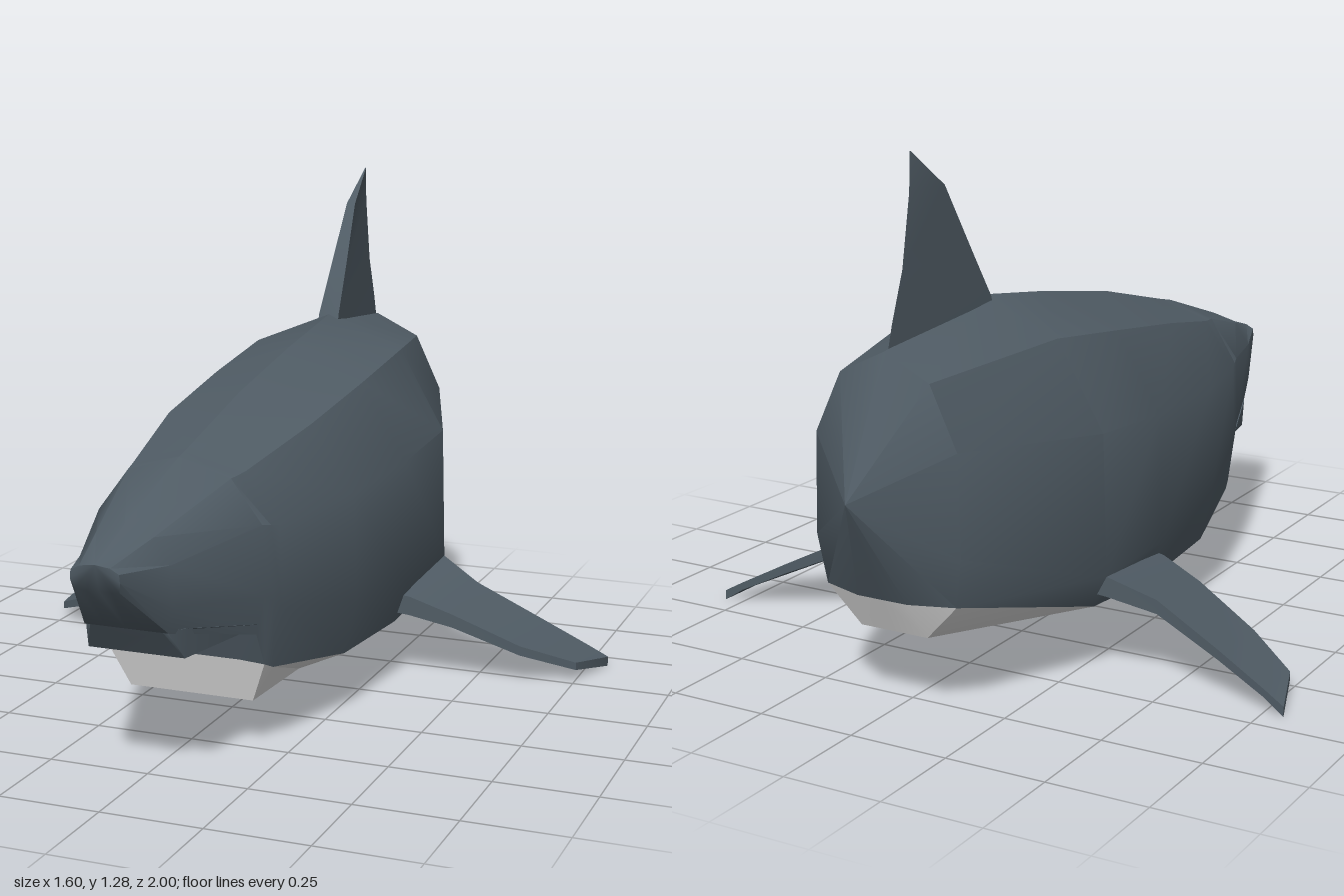
import * as THREE from 'three';
import { toCreasedNormals } from 'three/addons/utils/BufferGeometryUtils.js';

const slate = new THREE.MeshStandardMaterial({ color: 0x505c65 });
slate.name = 'slate skin';
const pale = new THREE.MeshStandardMaterial({ color: 0xe2e2e2 });
pale.name = 'pale belly';

// Skin closed rings of points, cap both ends, and sort the triangles by isPale(ring, side)
function loft(rings, isPale = () => false) {
  const lists = [[], []];
  const n = rings[0].length;
  let volume = 0;
  const tri = (k, a, b, c) => {
    const [A, B, C] = [a, b, c].map((p) => new THREE.Vector3(...p));
    const cross = B.clone().sub(A).cross(C.clone().sub(A));
    if (cross.length() < 1e-7) return;
    volume += A.dot(B.cross(C));
    lists[k].push([a, b, c]);
  };
  for (let i = 0; i < rings.length - 1; i++) {
    for (let j = 0; j < n; j++) {
      const k = isPale(i, j) ? 1 : 0;
      const j2 = (j + 1) % n;
      const [a, b, c, d] = [rings[i][j], rings[i][j2], rings[i + 1][j2], rings[i + 1][j]];
      // mirror the diagonal so both halves match
      if (j < n / 2) { tri(k, a, b, c); tri(k, a, c, d); }
      else { tri(k, a, b, d); tri(k, b, c, d); }
    }
  }
  const last = rings[rings.length - 1];
  for (let j = 1; j < n - 1; j++) {
    tri(0, rings[0][0], rings[0][j + 1], rings[0][j]);
    tri(0, last[0], last[j], last[j + 1]);
  }
  return lists.map((list) => {
    const pos = list.flatMap(([a, b, c]) => (volume > 0 ? [a, b, c] : [a, c, b])).flat();
    const geo = new THREE.BufferGeometry();
    geo.setAttribute('position', new THREE.Float32BufferAttribute(pos, 3));
    return toCreasedNormals(geo, 0.6);
  });
}

function part(name, geometry, material) {
  const mesh = new THREE.Mesh(geometry, material);
  mesh.name = name;
  return mesh;
}

// Half cross-section: ridge, shoulder, upper side, lower side, paint edge, belly edge, keel
function halfSection([z, top, w, low, paintY, bellyW, bellyY, bellyZ = z]) {
  const drop = top - low;
  return [
    [0, top, z],
    [0.61 * w, top - 0.13 * drop, z],
    [0.97 * w, top - 0.46 * drop, z],
    [w, low, z],
    [0.9 * w, paintY, (z + bellyZ) / 2],
    [bellyW, bellyY, bellyZ],
    [0, bellyY, bellyZ],
  ];
}

const mirrorRing = (half) => [
  ...half,
  ...half.slice(1, -1).reverse().map(([x, y, z]) => [-x, y, z]),
];

export function createModel() {
  const group = new THREE.Group();
  group.name = 'seaAnimal';

  // Body stations: z, ridge y, half width, lower side y, paint edge y, belly half width, belly y, belly z
  const halves = [
    [1, 0.565, 0.06, 0.53, 0.505, 0.03, 0.5, 0.98],
    [0.85, 0.62, 0.115, 0.44, 0.38, 0.05, 0.38],
    [0.56, 0.712, 0.215, 0.4, 0.305, 0.15, 0.305],
    [0.53, 0.718, 0.225, 0.38, 0.225, 0.14, 0.23, 0.535],
    [0.5, 0.725, 0.235, 0.36, 0.21, 0.16, 0.12],
    [0.2, 0.8, 0.312, 0.3, 0.163, 0.16, 0.108],
    [-0.13, 0.86, 0.335, 0.26, 0.155, 0.16, 0.105],
    [-0.43, 0.905, 0.34, 0.26, 0.18, 0.16, 0.14],
    [-0.84, 0.85, 0.195, 0.4, 0.28, 0.09, 0.19, -0.82],
  ].map(halfSection);

  // Rear end: sides run to a point, the belly stops at the paint edge first
  const apex = [0, 0.54, -1];
  const rear = halves[halves.length - 1];
  const paintLine = rear.map((p, j) => {
    if (j < 4) return apex;
    if (j === 4) return p;
    return p.map((v, axis) => THREE.MathUtils.lerp(v, apex[axis], 0.257));
  });
  halves.push(paintLine, rear.map(() => apex));
  const [back, belly] = loft(halves.map(mirrorRing), (i, j) => i >= 3 && i <= 8 && j >= 4 && j <= 7);
  group.add(part('body', back, slate), part('belly', belly, pale));

  // Upper lip hanging under the snout: z, top half width, top y, bottom half width, bottom y
  const lip = [
    [0.85, 0.1, 0.385, 0.09, 0.38],
    [0.8, 0.125, 0.38, 0.12, 0.31],
    [0.56, 0.2, 0.33, 0.16, 0.305],
  ].map(([z, tw, ty, bw, by]) => [[tw, ty, z], [bw, by, z], [-bw, by, z], [-tw, ty, z]]);
  group.add(part('upperLip', loft(lip)[0], slate));

  // Dorsal fin, blunt in front and sharp behind: y, leading z, trailing z, half thickness
  const dorsal = [
    [0.84, -0.41, -0.825, 0.03],
    [0.905, -0.43, -0.805, 0.028],
    [1.02, -0.5, -0.76, 0.022],
    [1.19, -0.6, -0.727, 0.012],
    [1.28, -0.72, -0.722, 0.001],
  ].map(([y, lead, trail, t]) => [[t, y, lead], [0, y, trail], [-t, y, lead]]);
  group.add(part('dorsalFin', loft(dorsal)[0], slate));

  // Side fins: x, leading z, leading y, trailing z, trailing y, thickness
  const finRows = [
    [0.27, -0.12, 0.21, -0.45, 0.25, 0.05],
    [0.34, -0.13, 0.2, -0.43, 0.235, 0.05],
    [0.45, -0.152, 0.165, -0.385, 0.19, 0.035],
    [0.62, -0.2, 0.09, -0.405, 0.11, 0.025],
    [0.75, -0.28, 0.04, -0.424, 0.045, 0.02],
    [0.8, -0.43, 0.015, -0.432, 0.015, 0.025],
  ];
  for (const [name, s] of [['leftFin', 1], ['rightFin', -1]]) {
    const fin = finRows.map(([x, lz, ly, tz, ty, t]) => [
      [s * x, ly + t / 2, lz], [s * x, ly - t / 2, lz],
      [s * x, ty - t / 2, tz], [s * x, ty + t / 2, tz],
    ]);
    group.add(part(name, loft(fin)[0], slate));
  }
  return group;
}
